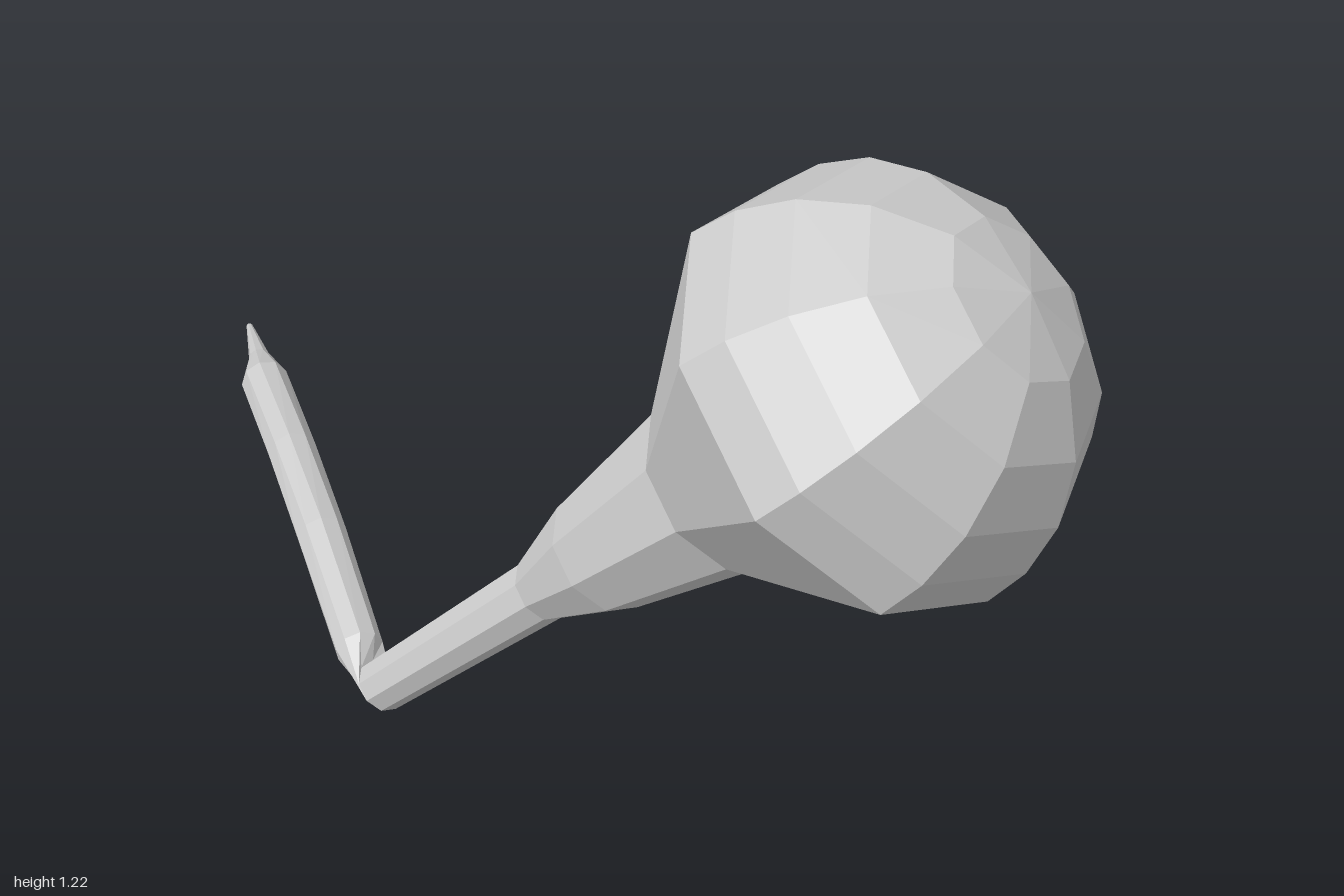
import * as THREE from 'three';

const SIDES = 9;
const REF = new THREE.Vector3(0.245, 0.03, 0.968); // where every ring starts

// Skin a list of rings { c: centre, n: normal, r: radius }, closed at both ends
function loft(rings, name, material) {
  const pos = [], index = [];
  for (const { c, n, r } of rings) {
    const u = REF.clone().addScaledVector(n, -REF.dot(n)).normalize();
    const v = n.clone().cross(u);
    for (let i = 0; i < SIDES; i++) {
      const a = (i / SIDES) * Math.PI * 2;
      const p = c.clone().addScaledVector(u, r * Math.cos(a)).addScaledVector(v, r * Math.sin(a));
      pos.push(p.x, p.y, p.z);
    }
  }
  for (let k = 0; k < rings.length - 1; k++) {
    for (let i = 0; i < SIDES; i++) {
      const a = k * SIDES + i, b = k * SIDES + (i + 1) % SIDES;
      index.push(a, b, b + SIDES, a, b + SIDES, a + SIDES);
    }
  }
  const last = (rings.length - 1) * SIDES;
  for (let i = 1; i < SIDES - 1; i++) {
    index.push(0, i + 1, i, last, last + i, last + i + 1);
  }
  const geometry = new THREE.BufferGeometry();
  geometry.setAttribute('position', new THREE.Float32BufferAttribute(pos, 3));
  geometry.setIndex(index);
  geometry.computeVertexNormals();
  const mesh = new THREE.Mesh(geometry, material);
  mesh.name = name;
  return mesh;
}

export function createModel() {
  const group = new THREE.Group();
  group.name = 'bulbOnStem';
  const material = new THREE.MeshStandardMaterial({ color: 0xcccccc, flatShading: true });

  const elbow = new THREE.Vector3(-0.097, 0.036, 0.231);
  const centre = new THREE.Vector3(0.665, 0.89, 0.002);
  const axis = centre.clone().sub(elbow).normalize();
  const length = centre.distanceTo(elbow);
  const along = (d, r) => ({ c: elbow.clone().addScaledVector(axis, d), n: axis, r });

  // Neck flaring up to the rim of the bulb
  const R = 0.341;
  const bulb = [[0, 0.046], [0.44, 0.055], [0.592, 0.101], [0.868, 0.146], [length, R]]
    .map(([d, r]) => along(d, r));
  // Domed end of the bulb
  for (const degrees of [14, 30, 48, 68, 90]) {
    const a = THREE.MathUtils.degToRad(degrees);
    bulb.push(along(length + R * Math.sin(a), Math.max(R * Math.cos(a), 0.0005)));
  }
  group.add(loft(bulb, 'neckAndBulb', material));

  // Arched tail from the pointed tip back to the elbow: x, y, z, radius
  const path = [
    [-0.998, 0.08, -0.298, 0.006], [-0.88, 0.102, -0.217, 0.02],
    [-0.805, 0.113, -0.163, 0.044], [-0.6, 0.118, -0.042, 0.044],
    [-0.4, 0.103, 0.076, 0.044], [-0.172, 0.06, 0.208, 0.041],
  ];
  const points = path.map(([x, y, z]) => new THREE.Vector3(x, y, z));
  const tail = path.map((p, i) => {
    const before = points[Math.max(i - 1, 0)], after = points[Math.min(i + 1, points.length - 1)];
    return { c: points[i], n: after.clone().sub(before).normalize(), r: p[3] };
  });
  tail.push(along(0, 0.046));
  group.add(loft(tail, 'tail', material));

  return group;
}
